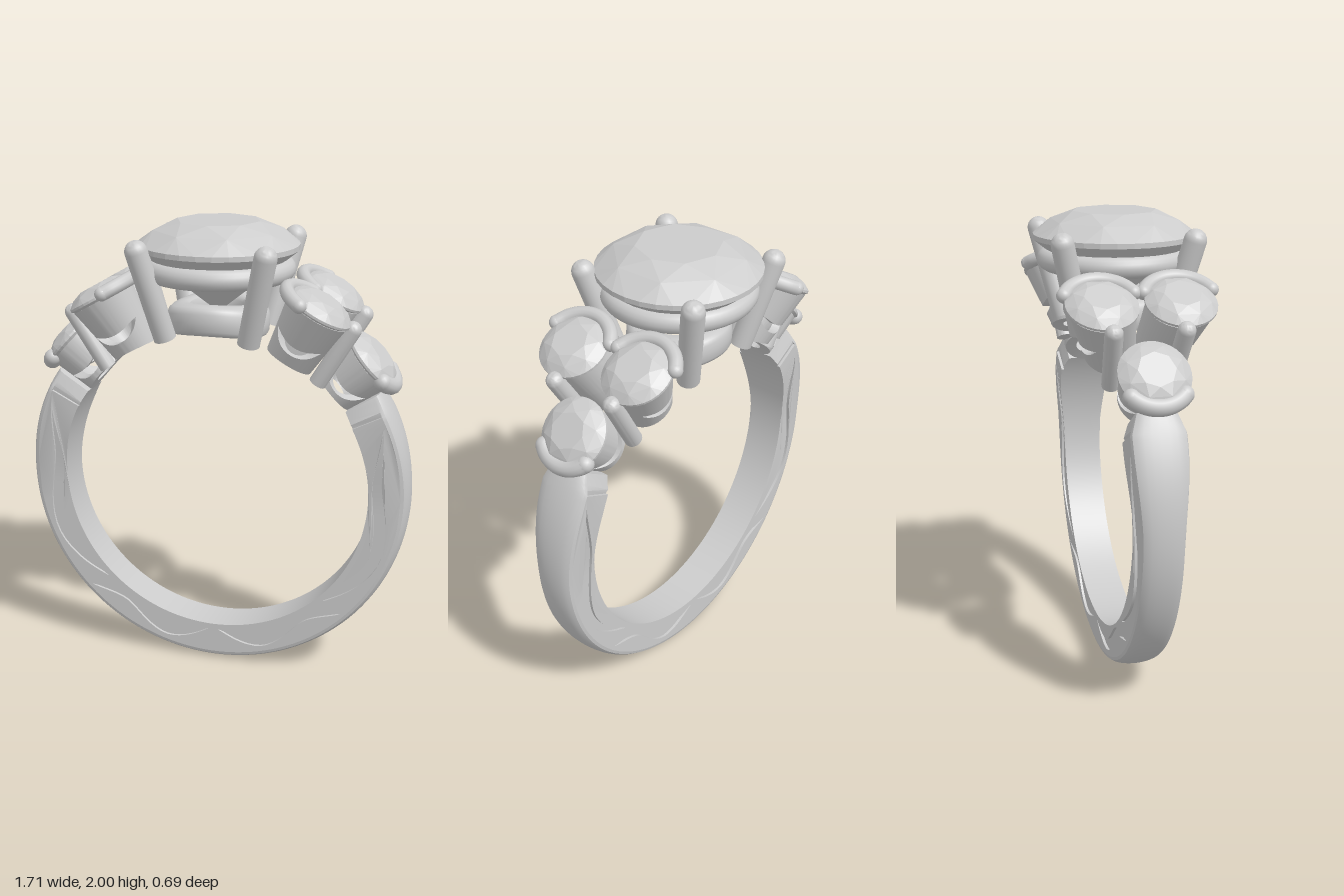
import * as THREE from 'three';
import { toCreasedNormals } from 'three/addons/utils/BufferGeometryUtils.js';
import { ConvexGeometry } from 'three/addons/geometries/ConvexGeometry.js';

const CY = 0.86, INNER = 0.685, SHOULDER = 0.822, OUTER = 0.856; // finger hole and band radii
const RECESS = 0.012;
const rad = THREE.MathUtils.degToRad;
const { lerp, smoothstep } = THREE.MathUtils;
const V = (x, y, z) => new THREE.Vector3(x, y, z);
const metal = new THREE.MeshStandardMaterial({ color: 0xcccccc });
const facet = new THREE.MeshStandardMaterial({ color: 0xcccccc, flatShading: true });

function mesh(name, geometry, material = metal) {
  const m = new THREE.Mesh(geometry, material);
  m.name = name;
  return m;
}

// Skin a row of closed cross-sections, optionally capping both ends
function loft(sections, caps = false) {
  const n = sections[0].length, pos = [], idx = [];
  sections.forEach(s => s.forEach(p => pos.push(p.x, p.y, p.z)));
  for (let i = 0; i < sections.length - 1; i++) {
    for (let j = 0; j < n; j++) {
      const a = i * n + j, b = i * n + (j + 1) % n;
      idx.push(a, b, a + n, b, b + n, a + n);
    }
  }
  if (caps) {
    const e = (sections.length - 1) * n;
    for (let j = 1; j < n - 1; j++) idx.push(0, j + 1, j, e, e + j, e + j + 1);
  }
  const g = new THREE.BufferGeometry();
  g.setAttribute('position', new THREE.Float32BufferAttribute(pos, 3));
  g.setIndex(idx);
  return toCreasedNormals(g, 0.6);
}

// Round brilliant cut with its girdle at y = 0
function gem(r, crown, pavilion) {
  const pts = [V(0, -pavilion, 0)];
  const ring = (n, radius, y, shift = 0) => {
    for (let i = 0; i < n; i++) {
      const a = (i + shift) / n * Math.PI * 2;
      pts.push(V(Math.cos(a) * radius, y, Math.sin(a) * radius));
    }
  };
  ring(8, r * 0.52, crown);
  ring(8, r * 0.8, crown * 0.64, 0.5);
  ring(32, r, crown * 0.1);
  ring(32, r, -crown * 0.1);
  ring(8, r * 0.5, -pavilion * 0.53, 0.5);
  return mesh('stone', new ConvexGeometry(pts), facet);
}

// Straight claw with a flat foot and a rounded tip
function prong(name, a, b, r) {
  const len = a.distanceTo(b);
  const profile = [new THREE.Vector2(0, 0), new THREE.Vector2(r, 0)];
  for (let i = 0; i <= 8; i++) {
    const t = i / 8 * Math.PI / 2;
    profile.push(new THREE.Vector2(i === 8 ? 0 : r * Math.cos(t), len - r + r * Math.sin(t)));
  }
  const m = mesh(name, toCreasedNormals(new THREE.LatheGeometry(profile, 20), 0.6));
  m.position.copy(a);
  m.quaternion.setFromUnitVectors(V(0, 1, 0), b.clone().sub(a).normalize());
  return m;
}

// Bent claw hugging a stone edge, with ball ends
function clasp(name, centre, radius, mid, spread, r) {
  const g = new THREE.Group();
  g.name = name;
  const pts = [];
  for (let i = 0; i <= 8; i++) {
    const a = rad(mid + lerp(-spread, spread, i / 8));
    pts.push(V(centre.x + radius * Math.cos(a), centre.y, centre.z + radius * Math.sin(a)));
  }
  g.add(mesh('claspBar', new THREE.TubeGeometry(new THREE.CatmullRomCurve3(pts), 32, r, 12)));
  for (const p of [pts[0], pts[8]]) {
    const ball = mesh('claspEnd', new THREE.SphereGeometry(r, 16, 12));
    ball.position.copy(p);
    g.add(ball);
  }
  return g;
}

// Tapered cup whose foot follows the finger hole; slots lists the sides (+1 / -1 in z) with a crescent window
function cup({ top, rTop, rFoot, zTop, zFoot, slots }) {
  const g = new THREE.Group();
  g.name = 'cup';
  const point = (a, y, wall) => {
    const t = (y - INNER) / (top - INNER);
    const r = lerp(rFoot, rTop, t) - wall;
    return V(r * Math.cos(a), y, r * Math.sin(a) + lerp(zFoot, zTop, t));
  };
  const lower = [], upper = [];
  for (let i = 0; i <= 96; i++) {
    const a = i / 96 * Math.PI * 2;
    let mid = lerp(INNER, top, 0.47), half = 0;
    for (const s of slots) {
      const u = (a - Math.PI * (s > 0 ? 0.5 : 1.5)) / rad(58);
      if (Math.abs(u) < 1) {
        mid -= 0.045 * (1 - u * u);
        half = 0.02 * (1 - u ** 4);
      }
    }
    const foot = wall => {
      const p = point(a, INNER, wall);
      p.y = Math.sqrt(INNER ** 2 - p.x ** 2);
      return p;
    };
    lower.push([foot(0.05), foot(0), point(a, mid - half, 0), point(a, mid - half, 0.035)]);
    upper.push([point(a, mid + half, 0.035), point(a, mid + half, 0), point(a, top, 0), point(a, top, 0.03)]);
  }
  g.add(mesh('cupFoot', loft(lower)), mesh('cupRim', loft(upper)));
  return g;
}

// Half width of the band: widens towards the shoulders, then chamfers at the ends
function halfWidth(angle) {
  const e = Math.asin(Math.sin(angle)) * 180 / Math.PI;
  return 0.087 + 0.026 * smoothstep(e, -5, 24) - 0.03 * Math.max(0, (e - 27) / 6);
}

function band() {
  const g = new THREE.Group();
  g.name = 'band';
  const sections = [];
  for (let i = 0; i <= 164; i++) {
    const a = rad(147 + i * 1.5), w = halfWidth(a);
    const s = w - (i < 4 || i > 160 ? 0 : RECESS);
    const prof = [[-s, INNER], [s, INNER], [s, SHOULDER]];
    for (let k = 0; k <= 10; k++) {
      const t = k / 10 * Math.PI;
      prof.push([w * Math.cos(t), SHOULDER + (OUTER - SHOULDER) * Math.sin(t) ** 0.8]);
    }
    prof.push([-s, SHOULDER]);
    sections.push(prof.map(([z, r]) => V(r * Math.cos(a), r * Math.sin(a), z)));
  }
  g.add(mesh('bandCore', loft(sections, true)));

  // Side plates pierced by S-shaped leaves, giving shallow engraving
  const polar = (deg, r) => new THREE.Vector2(r * Math.cos(rad(deg)), r * Math.sin(rad(deg)));
  const outline = [];
  for (let d = 153; d <= 387; d += 1.5) outline.push(polar(d, SHOULDER));
  for (let d = 387; d >= 153; d -= 1.5) outline.push(polar(d, INNER));
  const plate = new THREE.Shape(outline);
  const spine = new THREE.SplineCurve([[0, 0.803], [0.28, 0.722], [0.68, 0.775], [1, 0.712]]
    .map(p => new THREE.Vector2(...p)));
  for (const [from, to] of [[157, 225], [224, 268]]) {
    for (const mirror of [false, true]) {
      const a = [], b = [];
      for (let i = 0; i <= 24; i++) {
        const p = spine.getPoint(i / 24), d = lerp(from, to, p.x);
        const w = 0.026 * Math.sin(Math.PI * p.x) + 0.001;
        a.push(polar(mirror ? 540 - d : d, p.y + w));
        b.unshift(polar(mirror ? 540 - d : d, p.y - w));
      }
      plate.holes.push(new THREE.Path([...a, ...b]));
    }
  }
  const geo = new THREE.ExtrudeGeometry(plate, { depth: RECESS, bevelEnabled: false });
  const p = geo.attributes.position;
  for (let i = 0; i < p.count; i++) {
    p.setZ(i, p.getZ(i) + halfWidth(Math.atan2(p.getY(i), p.getX(i))) - RECESS);
  }
  const plateGeo = toCreasedNormals(geo, 0.5);
  for (const turn of [0, Math.PI]) {
    const m = mesh('engravedSide', plateGeo);
    m.rotation.y = turn;
    g.add(m);
  }
  g.position.y = CY;
  return g;
}

function centreSetting() {
  const g = new THREE.Group();
  g.name = 'centreSetting';
  const stone = gem(0.343, 0.105, 0.285);
  stone.position.y = 1.895;
  const seat = mesh('seatRing', new THREE.TorusGeometry(0.28, 0.046, 16, 64));
  seat.rotation.x = Math.PI / 2;
  seat.position.y = 1.8;
  // Lower ring, bent to the finger hole
  const sections = [];
  for (let i = 0; i <= 72; i++) {
    const a = i / 72 * Math.PI * 2, s = [];
    for (let k = 0; k < 16; k++) {
      const t = k / 16 * Math.PI * 2, c = Math.cos(t), q = Math.sin(t);
      const r = 0.165 + 0.055 * Math.sign(c) * Math.abs(c) ** 0.6;
      const x = r * Math.cos(a);
      const y = CY + Math.sqrt(INNER ** 2 - x * x) + 0.063 + 0.063 * Math.sign(q) * Math.abs(q) ** 0.6;
      s.push(V(x, y, r * Math.sin(a)));
    }
    sections.push(s);
  }
  g.add(stone, seat, mesh('lowerRing', loft(sections)));
  for (const x of [-1, 1]) for (const z of [-1, 1]) {
    g.add(prong('centreProng', V(x * 0.18, 1.525, z * 0.185), V(x * 0.28, 1.945, z * 0.285), 0.048));
  }
  return g;
}

// Two inner stones and one outer stone descending on one side
function shoulderCluster() {
  const g = new THREE.Group();
  g.name = 'shoulderCluster';
  const pair = new THREE.Group(), outer = new THREE.Group();
  pair.name = 'pairSetting';
  outer.name = 'outerSetting';
  for (const s of [-1, 1]) {
    const stone = gem(0.147, 0.05, 0.12);
    stone.position.set(0, 0.95, s * 0.16);
    pair.add(stone,
      cup({ top: 0.935, rTop: 0.138, rFoot: 0.105, zTop: s * 0.16, zFoot: s * 0.1, slots: [s] }),
      clasp('innerClasp', V(0, 0.955, s * 0.16), 0.155, 180, 65, 0.03));
    g.add(prong('sideProng', V(0.46, 1.365, s * 0.125), V(0.622, 1.635, s * 0.147), 0.037));
  }
  const stone = gem(0.147, 0.05, 0.12);
  stone.position.y = 0.89;
  outer.add(stone,
    cup({ top: 0.875, rTop: 0.136, rFoot: 0.11, zTop: 0, zFoot: 0, slots: [1, -1] }),
    clasp('outerClasp', V(0, 0.89, 0), 0.138, 0, 50, 0.036));
  pair.rotation.z = rad(-29.5);
  outer.rotation.z = rad(-48.5);
  pair.position.y = outer.position.y = CY;
  g.add(pair, outer);
  return g;
}

export function createModel() {
  const model = new THREE.Group();
  model.name = 'ring';
  const left = shoulderCluster(), right = shoulderCluster();
  right.rotation.y = Math.PI;
  model.add(band(), centreSetting(), left, right);
  return model;
}
